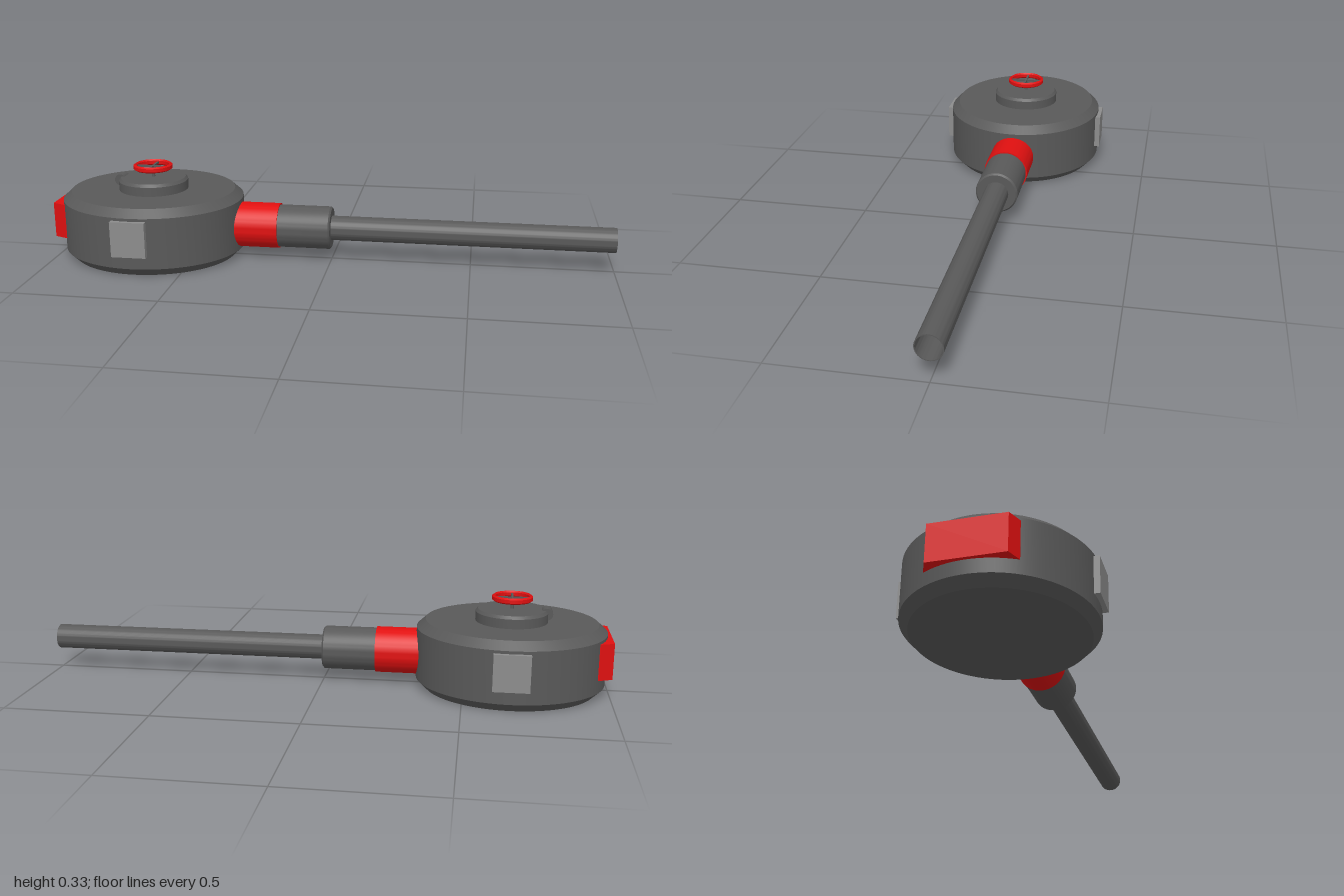
import * as THREE from 'three';
import { toCreasedNormals } from 'three/addons/utils/BufferGeometryUtils.js';

const CX = -0.66; // body axis
const PIPE_Y = 0.116; // outlet axis height

export function createModel() {
  const mat = (name, color) => new THREE.MeshStandardMaterial({ name, color });
  const dark = mat('dark grey', 0x595959);
  const light = mat('light grey', 0x8c8c8c);
  const red = mat('red', 0xe01010);
  const group = new THREE.Group();

  const add = (name, geometry, material, x = 0, y = 0, z = 0) => {
    const mesh = new THREE.Mesh(geometry, material);
    mesh.name = name;
    mesh.position.set(x, y, z);
    group.add(mesh);
    return mesh;
  };
  // Turned part with crisp edges; profile is [radius, height] from bottom to top
  const turned = (profile, scaleX = 1, segments = 64) => {
    const g = new THREE.LatheGeometry(profile.map(p => new THREE.Vector2(...p)), segments);
    g.scale(scaleX, 1, 1);
    return toCreasedNormals(g, 0.4);
  };
  // Turned part lying along +x
  const alongX = (profile) => turned(profile).rotateZ(-Math.PI / 2);

  // Slightly oval drum with chamfered rims
  add('body', turned([[0, 0], [0.273, 0], [0.301, 0.03], [0.301, 0.212], [0.273, 0.24], [0, 0.24]], 1.09, 96), dark, CX);

  // Raised cap and its small hinge barrel
  add('cap', turned([[0.125, 0.235], [0.125, 0.273], [0.117, 0.283], [0, 0.283]]), dark, CX);
  add('hinge', new THREE.CylinderGeometry(0.021, 0.021, 0.044, 24).rotateX(Math.PI / 2), dark, -0.779, 0.27);

  // Handwheel: stem, spokes and rim
  add('stem', new THREE.CylinderGeometry(0.006, 0.006, 0.045, 16), dark, CX, 0.302);
  for (let i = 0; i < 2; i++) {
    add('spoke', new THREE.BoxGeometry(0.12, 0.007, 0.007), dark, CX, 0.321).rotation.y = i * Math.PI / 2;
  }
  add('handwheel', turned([[0.063, 0.31], [0.07, 0.315], [0.07, 0.327], [0.063, 0.332],
    [0.058, 0.327], [0.058, 0.315], [0.063, 0.31]]), red, CX);

  // Plates on both sides
  for (const s of [1, -1]) {
    add('sidePlate', new THREE.BoxGeometry(0.122, 0.126, 0.06), light, CX, 0.139, s * 0.285);
  }

  // Rear block with slanted ends
  const block = new THREE.Shape([[-1, -0.12], [-0.952, -0.14], [-0.88, -0.14], [-0.88, 0.14], [-0.952, 0.14], [-1, 0.12]]
    .map(p => new THREE.Vector2(...p)));
  const blockGeo = new THREE.ExtrudeGeometry(block, { depth: 0.126, bevelEnabled: false }).rotateX(-Math.PI / 2);
  add('rearBlock', blockGeo, red, 0, 0.076, 0);

  // Outlet: collar, coupling and hollow pipe
  add('collar', alongX([[0, -0.45], [0.0815, -0.45], [0.0815, -0.19], [0, -0.19]]), red, 0, PIPE_Y);
  add('coupling', alongX([[0.077, -0.2], [0.077, -0.006], [0.071, 0], [0, 0]]), dark, 0, PIPE_Y);
  add('pipe', alongX([[0.044, -0.01], [0.044, 1], [0.041, 1], [0.041, -0.01]]), dark, 0, PIPE_Y);

  return group;
}
